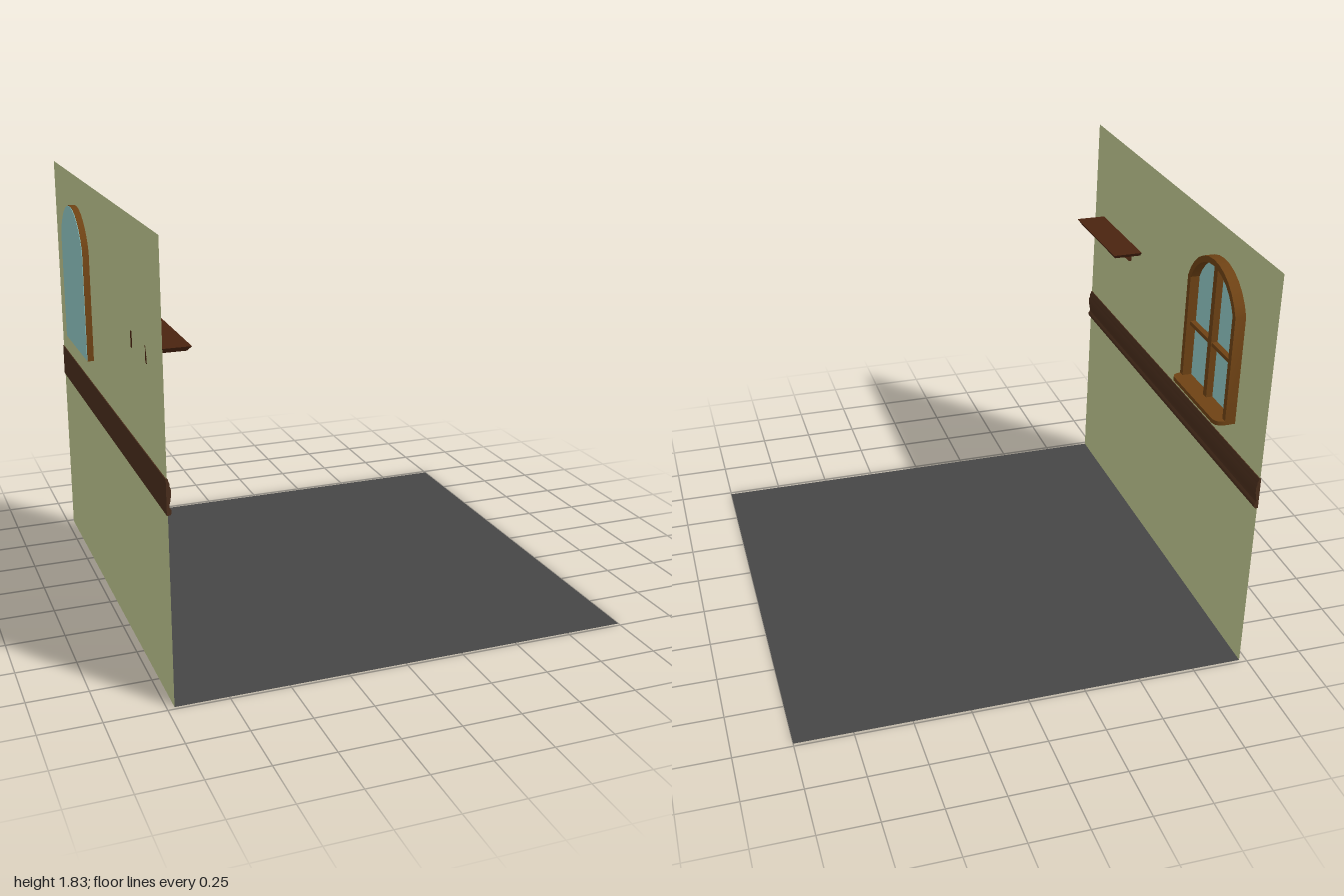
import * as THREE from 'three';
import { toCreasedNormals } from 'three/addons/utils/BufferGeometryUtils.js';

const WALL_X = -0.97, HALF_Z = 0.985, WALL_TOP = 1.83;
const WIN = { u: 0.489, half: 0.234, bottom: 1.045, spring: 1.535, top: 1.697 };

const mat = (color, side = THREE.FrontSide) => new THREE.MeshStandardMaterial({ color, side });

function add(parent, name, geometry, material, x = 0, y = 0, z = 0) {
  const mesh = new THREE.Mesh(geometry, material);
  mesh.name = name;
  mesh.position.set(x, y, z);
  parent.add(mesh);
  return mesh;
}

// Arched outline in wall coordinates (u = -z, v = y), shrunk by an inset
function archOutline(path, inset, bottomInset = inset) {
  const half = WIN.half - inset, rise = WIN.top - inset - WIN.spring;
  const r = (half * half + rise * rise) / (2 * rise);
  const cy = WIN.spring + rise - r, a = Math.asin(half / r);
  path.moveTo(WIN.u - half, WIN.bottom + bottomInset);
  path.lineTo(WIN.u + half, WIN.bottom + bottomInset);
  for (let i = 0; i <= 12; i++) {
    const t = a - (2 * a * i) / 12;
    path.lineTo(WIN.u + r * Math.sin(t), cy + r * Math.cos(t));
  }
  path.closePath();
  return path;
}

// Extrude a wall-plane shape from x0 to x1
function extrudeFromWall(shape, x0, x1) {
  const g = new THREE.ExtrudeGeometry(shape, { depth: x1 - x0, bevelEnabled: false });
  g.rotateY(Math.PI / 2);
  g.translate(x0, 0, 0);
  return toCreasedNormals(g, 0.5);
}

function buildWindow(wood, glass) {
  const g = new THREE.Group();
  g.name = 'window';

  const ring = archOutline(new THREE.Shape(), 0);
  ring.holes.push(archOutline(new THREE.Path(), 0.027, 0.018));
  add(g, 'windowFrame', extrudeFromWall(ring, -0.998, -0.923), wood);
  add(g, 'windowGlass', extrudeFromWall(archOutline(new THREE.Shape(), 0.002), -1, -0.965), glass);

  // Glazing bars
  const barH = WIN.top - WIN.bottom - 0.03;
  add(g, 'verticalBar', new THREE.BoxGeometry(0.035, barH, 0.032), wood,
    -0.953, WIN.bottom + 0.01 + barH / 2, -WIN.u);
  add(g, 'horizontalBar', new THREE.BoxGeometry(0.028, 0.017, WIN.half * 2 - 0.03), wood,
    -0.953, 1.316, -WIN.u);

  // Sill with rounded front corners, drawn in plan and extruded upwards
  const h = WIN.half, plan = new THREE.Shape();
  plan.moveTo(-h, -0.95);
  plan.lineTo(h, -0.95);
  plan.lineTo(h, -0.92);
  plan.quadraticCurveTo(h - 0.005, -0.883, h - 0.035, -0.88);
  plan.lineTo(-h + 0.035, -0.88);
  plan.quadraticCurveTo(-h + 0.005, -0.883, -h, -0.92);
  plan.closePath();
  const sill = new THREE.ExtrudeGeometry(plan, { depth: 0.019, bevelEnabled: false, curveSegments: 5 });
  sill.rotateX(-Math.PI / 2).rotateY(-Math.PI / 2);
  add(g, 'windowSill', toCreasedNormals(sill, 0.5), wood, 0, WIN.bottom - 0.001, -WIN.u);
  return g;
}

function buildShelf(wood) {
  const g = new THREE.Group();
  g.name = 'shelf';

  // Board whose ends and front edge slope inwards towards the underside
  const board = new THREE.BoxGeometry(0.14, 0.021, 0.507);
  const p = board.attributes.position;
  for (let i = 0; i < p.count; i++) {
    if (p.getY(i) > 0) continue;
    p.setZ(i, p.getZ(i) * 0.92);
    if (p.getX(i) > 0) p.setX(i, p.getX(i) - 0.014);
  }
  board.computeVertexNormals();
  add(g, 'shelfBoard', board, wood, WALL_X + 0.071, 1.378, 0.614);

  // Triangular brackets with a slightly hollow front
  const side = new THREE.Shape();
  side.moveTo(WALL_X, 1.3);
  side.lineTo(WALL_X + 0.012, 1.3);
  side.quadraticCurveTo(WALL_X + 0.045, 1.332, WALL_X + 0.096, 1.37);
  side.lineTo(WALL_X, 1.37);
  side.closePath();
  const bracket = new THREE.ExtrudeGeometry(side, { depth: 0.026, bevelEnabled: false, curveSegments: 4 });
  for (const z of [0.733, 0.497]) add(g, 'shelfBracket', bracket, wood, 0, 0, z - 0.013);
  return g;
}

export function createModel() {
  const root = new THREE.Group();
  root.name = 'roomCorner';

  // Floor
  const floor = new THREE.PlaneGeometry(1 - WALL_X, HALF_Z * 2).rotateX(-Math.PI / 2);
  add(root, 'floor', floor, mat(0x464646, THREE.DoubleSide), (1 + WALL_X) / 2, 0, 0);

  // Wall with an arched opening
  const wall = new THREE.Shape();
  wall.moveTo(-HALF_Z, 0);
  wall.lineTo(HALF_Z, 0);
  wall.lineTo(HALF_Z, WALL_TOP);
  wall.lineTo(-HALF_Z, WALL_TOP);
  wall.closePath();
  wall.holes.push(archOutline(new THREE.Path(), 0.01));
  add(root, 'wall', new THREE.ShapeGeometry(wall).rotateY(Math.PI / 2),
    mat(0xc0c890, THREE.DoubleSide), WALL_X, 0, 0);

  // Moulded rail: profile as [x offset from wall, y], run along the wall
  const profile = [[-0.004, 0.788], [0.009, 0.788], [0.014, 0.797], [0.014, 0.808], [0.007, 0.818],
    [0.007, 0.828], [0.011, 0.845], [0.014, 0.865], [0.014, 0.89], [0.01, 0.9], [0.01, 0.912],
    [0.006, 0.92], [0.004, 0.93], [-0.004, 0.93]];
  const rail = new THREE.Shape(profile.map(([x, y]) => new THREE.Vector2(WALL_X + x, y)));
  const railGeo = new THREE.ExtrudeGeometry(rail, { depth: HALF_Z * 2, bevelEnabled: false });
  add(root, 'wallRail', toCreasedNormals(railGeo, 0.5), mat(0x4a2e1c), 0, 0, -HALF_Z);

  root.add(buildWindow(mat(0x6e4214), mat(0x90c8c4)));
  root.add(buildShelf(mat(0x4a2410)));
  return root;
}
